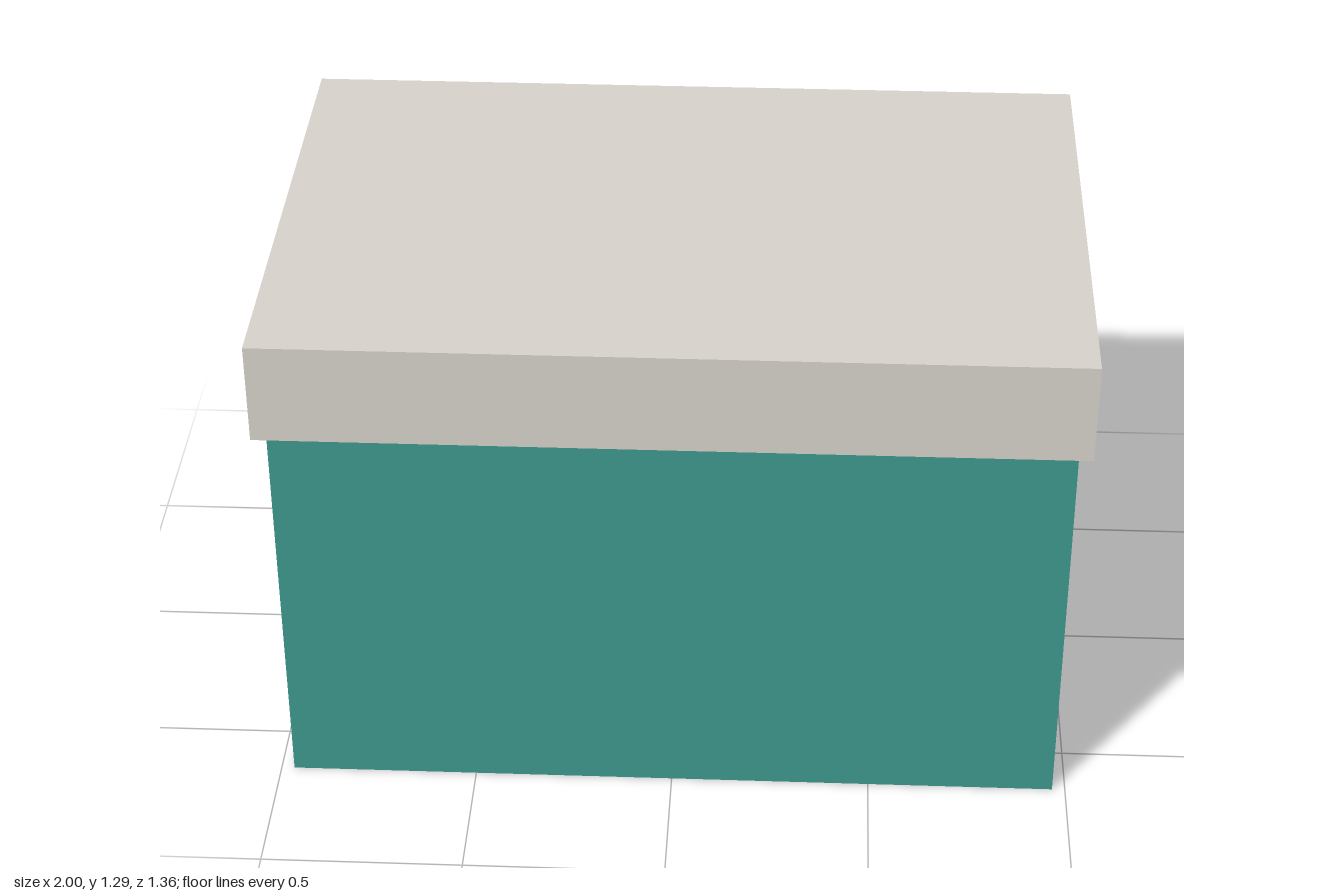
import * as THREE from 'three';

// Box standing on height y
function block(name, w, h, d, y, color) {
  const mesh = new THREE.Mesh(
    new THREE.BoxGeometry(w, h, d),
    new THREE.MeshStandardMaterial({ color })
  );
  mesh.name = name;
  mesh.position.y = y + h / 2;
  return mesh;
}

export function createModel() {
  const group = new THREE.Group();
  group.name = 'storageBox';

  const bodyHeight = 1.032;
  const lidHeight = 0.258;

  // Teal body
  group.add(block('body', 1.935, bodyHeight, 1.29, 0, 0x3f9a8f));

  // Pale lid, overhanging evenly on all four sides
  group.add(block('lid', 2, lidHeight, 1.355, bodyHeight, 0xd8d4cc));

  return group;
}
